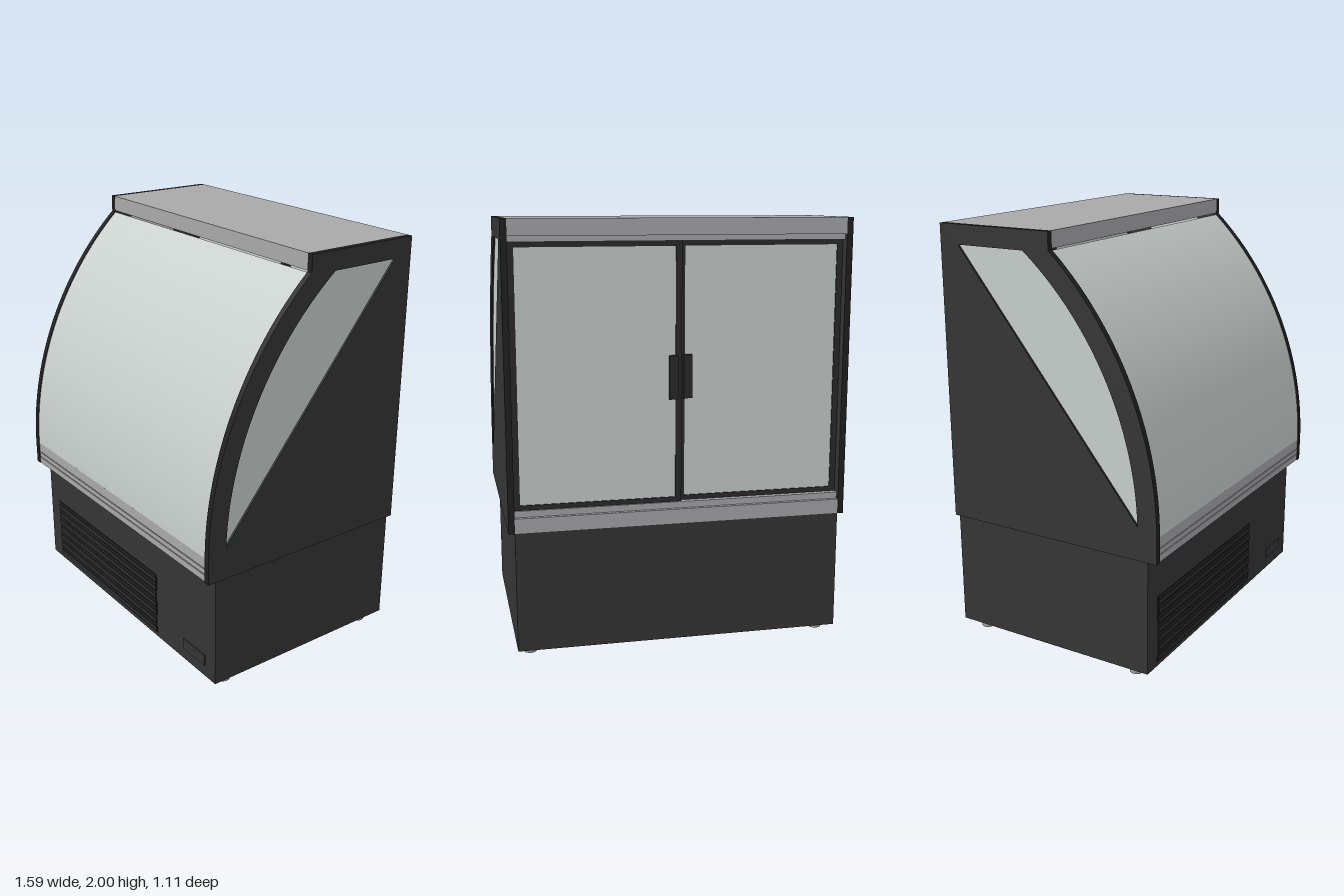
import * as THREE from 'three';
import { toCreasedNormals } from 'three/addons/utils/BufferGeometryUtils.js';

const material = (name, color, side = THREE.FrontSide) => {
  const m = new THREE.MeshStandardMaterial({ color, side });
  m.name = name;
  return m;
};

export function createModel() {
  const model = new THREE.Group();
  model.name = 'displayCabinet';

  const charcoal = material('charcoal', 0x353535);
  const black = material('black edging', 0x202020);
  const ventBlack = material('vent black', 0x161616);
  const frameGrey = material('door frame', 0x2a2a2a);
  const silver = material('silver', 0xa8a8aa);
  const glass = material('pale glass', 0xc8cfcc, THREE.DoubleSide);
  const steel = material('steel', 0x9a9a9a);

  const add = (name, geometry, mat, x = 0, y = 0, z = 0, parent = model) => {
    const mesh = new THREE.Mesh(geometry, mat);
    mesh.name = name;
    mesh.position.set(x, y, z);
    parent.add(mesh);
    return mesh;
  };
  // Box given by its limits on each axis
  const box = (name, mat, x0, x1, y0, y1, z0, z1, parent = model) =>
    add(name, new THREE.BoxGeometry(x1 - x0, y1 - y0, z1 - z0), mat,
      (x0 + x1) / 2, (y0 + y1) / 2, (z0 + z1) / 2, parent);
  // Profile drawn in (z, y) and extruded across x
  const across = (name, shape, mat, x0, x1) => {
    const g = new THREE.ExtrudeGeometry(shape, { depth: x1 - x0, bevelEnabled: false, curveSegments: 40 });
    g.rotateY(-Math.PI / 2);
    return add(name, toCreasedNormals(g, 0.4), mat, x1);
  };

  const W = 0.768, OUT = 0.797, BACK = -0.557, FRONT = 0.557;
  const R = 1.623, CZ = FRONT - R, CY = 0.72, SWEEP = 0.832;

  // Lower cabinet
  box('base', charcoal, -W, W, 0.04, 0.606, BACK, 0.497);

  // Levelling feet
  for (const x of [-0.705, 0.705]) for (const z of [0.403, -0.462]) {
    const foot = new THREE.Group();
    foot.name = 'foot';
    foot.position.set(x, 0, z);
    model.add(foot);
    add('footPad', new THREE.CylinderGeometry(0.031, 0.031, 0.02, 24), steel, 0, 0.01, 0, foot);
    add('footStem', new THREE.CylinderGeometry(0.014, 0.014, 0.03, 16), steel, 0, 0.03, 0, foot);
  }

  // Ventilation grille
  box('ventBacking', ventBlack, -0.68, 0.29, 0.06, 0.39, 0.49, 0.4985);
  for (let i = 0; i < 7; i++) {
    const y = 0.068 + i * 0.0465;
    box('ventSlat', frameGrey, -0.675, 0.285, y, y + 0.024, 0.49, 0.502);
    box('ventSlatLip', frameGrey, -0.675, 0.285, y + 0.03, y + 0.04, 0.49, 0.5005);
  }

  // Control cover
  box('controlCover', charcoal, 0.52, 0.69, 0.1, 0.155, 0.49, 0.503);

  // Side frames with window openings
  const windowPath = (target) => {
    const r = R - 0.095;
    target.moveTo(-0.46, 0.765);
    target.absarc(CZ, CY, r, Math.asin(0.045 / r), Math.asin(1.19 / r), false);
    target.lineTo(-0.46, 1.91);
    target.closePath();
    return target;
  };
  const sideShape = new THREE.Shape();
  sideShape.moveTo(BACK, 0.605);
  sideShape.lineTo(FRONT, 0.605);
  sideShape.absarc(CZ, CY, R, 0, SWEEP, false);
  sideShape.lineTo(0.027, 2);
  sideShape.lineTo(BACK, 2);
  sideShape.closePath();
  sideShape.holes.push(windowPath(new THREE.Path()));
  const pane = windowPath(new THREE.Shape());
  for (const s of [-1, 1]) {
    const span = (a, b) => (s > 0 ? [a, b] : [-b, -a]);
    across('sideFrame', sideShape, [charcoal, black], ...span(W, OUT));
    across('sideWindow', pane, glass, ...span(0.777, 0.787));
  }

  // Curved front glass
  const curved = new THREE.Shape();
  curved.absarc(CZ, CY, R - 0.004, 0, SWEEP, false);
  curved.absarc(CZ, CY, R - 0.016, SWEEP, 0, true);
  curved.closePath();
  across('frontGlass', curved, glass, -W, W);

  // Canopy, with a stepped lower edge at the back
  box('canopy', silver, -W, W, 1.925, 2, BACK, 0.026);
  box('canopyRearStep', silver, -W, W, 1.9, 1.926, BACK + 0.018, -0.48);

  // Front lower trim with a shallow groove
  box('frontTrimCore', silver, -W, W, 0.606, 0.722, 0.4, 0.546);
  for (const [y0, y1] of [[0.606, 0.638], [0.643, 0.667], [0.672, 0.724]])
    box('frontTrimBand', silver, -W, W, y0, y1, 0.5, 0.553);

  // Display floor and rear sill
  box('displayFloor', silver, -W, W, 0.6, 0.69, -0.5, 0.42);
  box('rearSill', silver, -W, W, 0.606, 0.675, BACK, -0.46);
  box('rearSillStep', silver, -W, W, 0.67, 0.705, BACK + 0.018, -0.46);

  // Sliding rear doors on two tracks
  const door = (name, x0, x1, z, handleX) => {
    const group = new THREE.Group();
    group.name = name;
    model.add(group);
    const y0 = 0.7, y1 = 1.905, t = 0.028, zb = z + 0.018;
    box('doorStile', frameGrey, x0, x0 + t, y0, y1, z, zb, group);
    box('doorStile', frameGrey, x1 - t, x1, y0, y1, z, zb, group);
    box('doorRail', frameGrey, x0 + t, x1 - t, y0, y0 + t, z, zb, group);
    box('doorRail', frameGrey, x0 + t, x1 - t, y1 - t, y1, z, zb, group);
    box('doorGlass', glass, x0 + t, x1 - t, y0 + t, y1 - t, z + 0.005, z + 0.013, group);
    box('doorHandle', frameGrey, handleX - 0.02, handleX + 0.02, 1.19, 1.39, z - 0.02, z + 0.002, group);
  };
  door('leftDoor', -0.005, W, -0.532, 0.035);
  door('rightDoor', -W, 0.005, -0.512, -0.035);

  return model;
}
